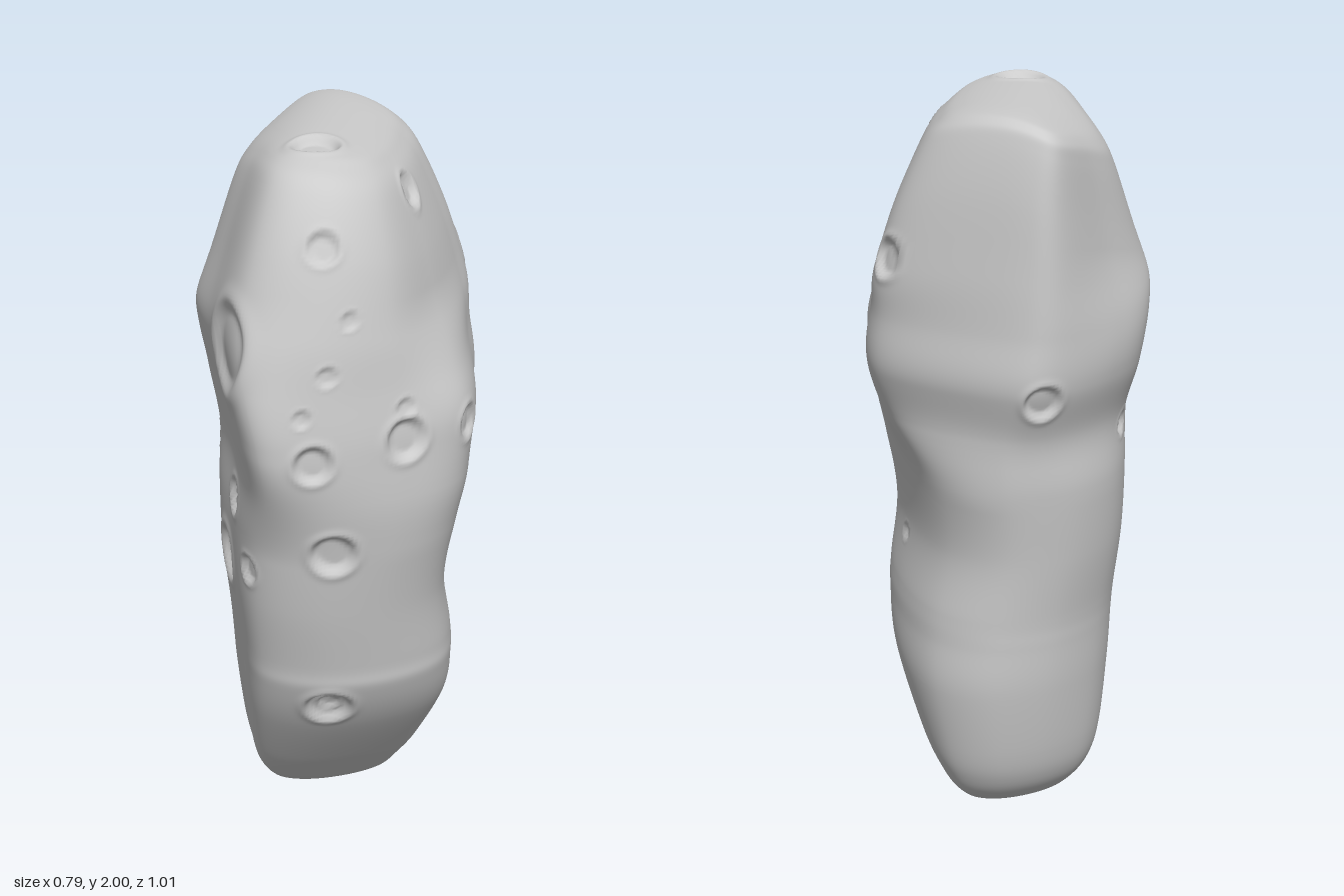
import * as THREE from 'three';

// Corner outlines (x, z), counter-clockwise seen from above
const LOW = [[-.34, .31], [-.2, .43], [.02, .44], [.18, .35], [.265, .05], [.24, -.25], [.12, -.39], [-.05, -.41], [-.22, -.32], [-.32, -.15], [-.345, .06]];
const MID = [[-.39, .45], [-.22, .505], [.02, .48], [.22, .4], [.33, .14], [.39, -.13], [.13, -.47], [.04, -.505], [-.19, -.42], [-.34, -.27], [-.385, .08]];
const HIGH = [[-.37, .31], [-.2, .42], [0, .4], [.17, .25], [.31, .03], [.365, -.14], [.11, -.46], [.03, -.49], [-.17, -.37], [-.345, -.21], [-.375, .03]];

// Extents by height: y, xMin, xMax, zMin, zMax
const KEYS = [
  [0, 0, 0, -.13, -.13], [.004, -.12, .125, -.2, -.06], [.035, -.18, .18, -.25, .01], [.1, -.23, .222, -.3, .075],
  [.2, -.265, .26, -.335, .165], [.4, -.3, .303, -.37, .32], [.54, -.315, .3, -.381, .395], [.62, -.322, .293, -.387, .41],
  [.8, -.34, .265, -.41, .445], [1, -.345, .295, -.435, .48], [1.15, -.345, .35, -.445, .5], [1.3, -.37, .395, -.5, .503],
  [1.45, -.392, .385, -.505, .487], [1.6, -.388, .38, -.502, .467], [1.8, -.328, .332, -.494, .415], [1.94, -.265, .265, -.48, .335],
  [1.985, -.215, .215, -.458, .25], [1.998, -.14, .145, -.38, .16], [2, 0, 0, -.1, -.1]
];

// Craters: x, y, z, radius
const CRATERS = [
  [-.16, 1.81, .4, .047], [-.11, 1.64, .45, .025], [-.165, 1.5, .47, .028], [-.24, 1.4, .47, .025],
  [-.215, 1.275, .49, .055], [.04, 1.31, .48, .062], [.045, 1.395, .47, .028], [.23, 1.3, .38, .05],
  [-.16, 1, .48, .065], [-.13, .48, .35, .07], [-.13, .475, .35, .032], [.135, 1.87, .17, .052], [-.1, 1.99, .12, .07],
  [.36, 1.6, -.15, .058], [.27, .755, .04, .026], [.06, 1.28, -.49, .055], [-.38, 1.53, .27, .13],
  [-.34, .82, .01, .085], [-.35, 1.05, .13, .055], [-.34, 1.1, -.18, .036], [-.27, 1.12, -.28, .036], [-.335, .9, .29, .045]
];

const AROUND = 208, STEP = .0088;
const { lerp, smoothstep, clamp } = THREE.MathUtils;

function outlineSamples(corners) {
  const curve = new THREE.CatmullRomCurve3(corners.map(([x, z]) => new THREE.Vector3(x, 0, z)), true, 'centripetal');
  return Array.from({ length: AROUND }, (_, j) => curve.getPoint(j / AROUND));
}

function cubic(a, b, c, d, t) {
  const m = (c - a) / 2, n = (d - b) / 2;
  return b + t * (m + t * (3 * (c - b) - 2 * m - n + t * (2 * (b - c) + m + n)));
}

// Smoothly interpolated extents, with even spacing over the surface
function sectionRows() {
  const rows = [], last = KEYS.length - 1;
  for (let k = 0; k < last; k++) {
    const near = [k - 1, k, k + 1, k + 2].map(i => KEYS[clamp(i, 0, last)]);
    const reach = Math.max(...near[1].map((v, c) => Math.abs(near[2][c] - v)));
    const n = Math.ceil(reach / STEP);
    for (let s = 0; s < n; s++) {
      rows.push(near[1].map((_, c) => cubic(near[0][c], near[1][c], near[2][c], near[3][c], s / n)));
    }
  }
  rows.push(KEYS[last]);
  return rows;
}

// The crown falls away on both sides of a diagonal ridge, more to the back
function crownDrop(x, y, z) {
  const d = -.9 * (x - .15) - .435 * (z + .42);
  return (d > 0 ? 1.8 : 1.1) * d * d * smoothstep(y, 1.35, 2);
}

function buildBody() {
  const low = outlineSamples(LOW), mid = outlineSamples(MID), high = outlineSamples(HIGH);
  const rows = sectionRows(), pos = [], index = [];
  rows.forEach(([y, x0, x1, z0, z1], i) => {
    const a = smoothstep(y, .95, 1.28), b = smoothstep(y, 1.32, 1.7);
    const ring = low.map((p, j) => p.clone().lerp(mid[j], a).lerp(high[j], b));
    const box = new THREE.Box3().setFromPoints(ring);
    ring.forEach((p, j) => {
      const x = lerp(x0, x1, (p.x - box.min.x) / (box.max.x - box.min.x));
      const z = lerp(z0, z1, (p.z - box.min.z) / (box.max.z - box.min.z));
      pos.push(x, clamp(y, 0, 2) - crownDrop(x, y, z), z);
      if (i === rows.length - 1) return;
      const k = (j + 1) % AROUND, r = i * AROUND, s = r + AROUND;
      index.push(r + j, r + k, s + k, r + j, s + k, s + j);
    });
  });
  const geo = new THREE.BufferGeometry();
  geo.setAttribute('position', new THREE.Float32BufferAttribute(pos, 3));
  geo.setIndex(index);
  geo.computeVertexNormals();
  return geo;
}

// Flat-floored bowl with a raised rim, pressed in along the local normal
function craterProfile(t) {
  return -.3 * (1 - smoothstep(t, .6, 1)) + .06 * Math.exp(-(((t - 1.05) / .18) ** 2));
}

function pressCraters(geo) {
  const P = geo.attributes.position, N = geo.attributes.normal;
  const base = P.clone(), v = new THREE.Vector3(), n = new THREE.Vector3();
  for (const [x, y, z, r] of CRATERS) {
    const target = new THREE.Vector3(x, y, z);
    let best = 0, bestD = Infinity;
    for (let i = 0; i < base.count; i++) {
      const d = v.fromBufferAttribute(base, i).distanceToSquared(target);
      if (d < bestD) { bestD = d; best = i; }
    }
    const centre = new THREE.Vector3().fromBufferAttribute(base, best);
    const axis = new THREE.Vector3().fromBufferAttribute(N, best);
    for (let i = 0; i < base.count; i++) {
      const t = v.fromBufferAttribute(base, i).distanceTo(centre) / r;
      if (t > 1.6 || n.fromBufferAttribute(N, i).dot(axis) < .1) continue;
      v.fromBufferAttribute(P, i).addScaledVector(axis, craterProfile(t) * Math.min(r, .07));
      P.setXYZ(i, v.x, v.y, v.z);
    }
  }
  geo.computeVertexNormals();
}

export function createModel() {
  const group = new THREE.Group();
  group.name = 'asteroid';
  const geo = buildBody();
  pressCraters(geo);
  const rock = new THREE.Mesh(geo, new THREE.MeshStandardMaterial({ color: 0xcccccc }));
  rock.name = 'crateredRock';
  group.add(rock);
  return group;
}
